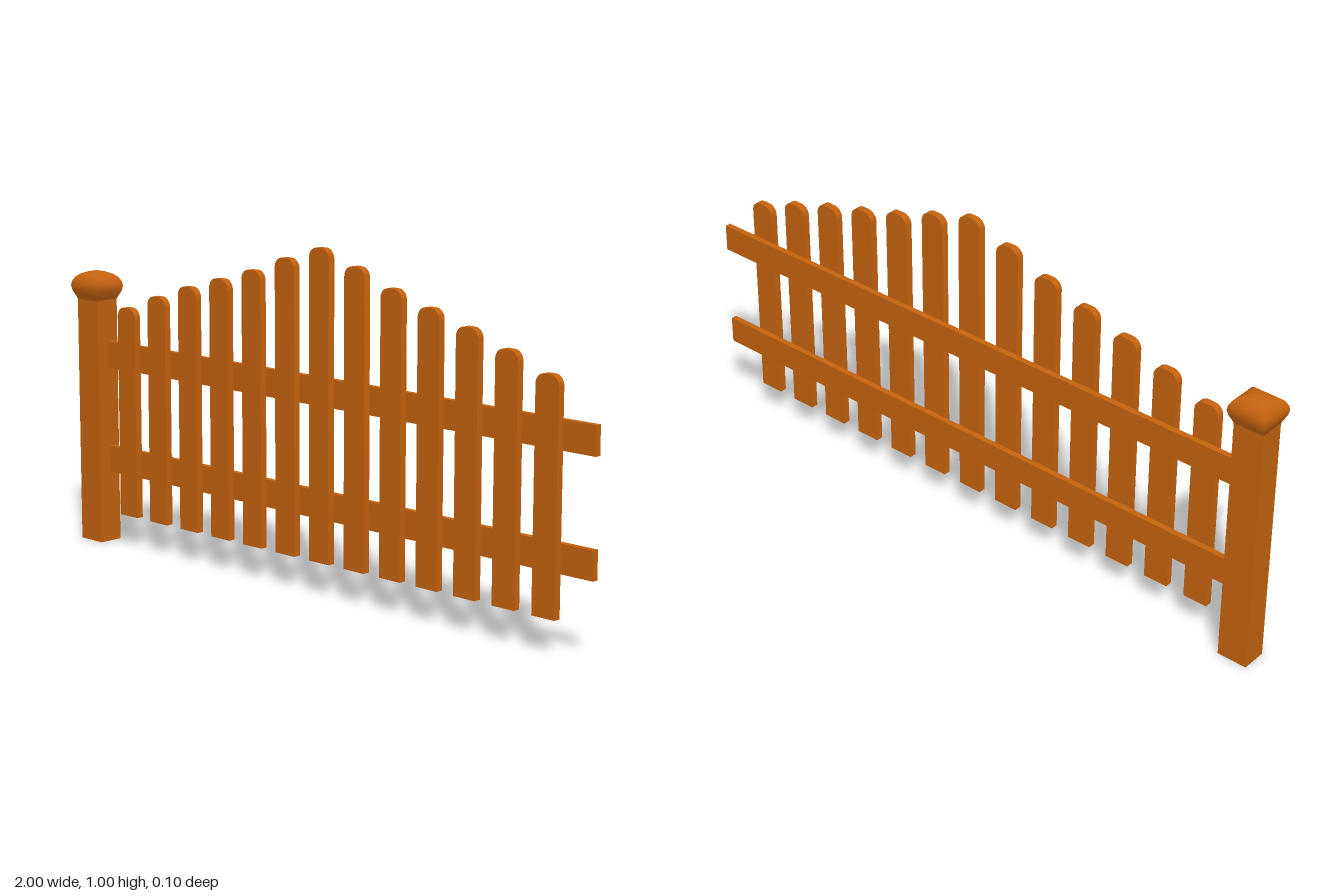
import * as THREE from 'three';
import { toCreasedNormals } from 'three/addons/utils/BufferGeometryUtils.js';

const POST_X = -0.938;

export function createModel() {
  const wood = new THREE.MeshStandardMaterial({ color: 0xc4620e });
  wood.name = 'wood';
  const model = new THREE.Group();
  model.name = 'picketFence';

  const add = (name, geometry, x, y, z) => {
    const mesh = new THREE.Mesh(geometry, wood);
    mesh.name = name;
    mesh.position.set(x, y, z);
    model.add(mesh);
  };

  // Square end post
  add('post', new THREE.BoxGeometry(0.093, 0.77, 0.077), POST_X, 0.385, 0);

  // Post cap: bulging four-sided profile with mitred corners
  const profile = [
    [0, 0.757], [0.74, 0.757], [0.82, 0.768], [0.94, 0.782], [1, 0.798],
    [0.96, 0.812], [0.82, 0.826], [0.6, 0.836], [0.3, 0.843], [0, 0.846],
  ].map(([r, y]) => new THREE.Vector2(r * Math.SQRT2, y));
  const cap = new THREE.LatheGeometry(profile, 4);
  cap.rotateY(Math.PI / 4);
  cap.scale(0.062, 1, 0.052);
  add('postCap', toCreasedNormals(cap, 0.6), POST_X, 0, 0);

  // Two horizontal rails behind the pickets
  const railStart = -0.9;
  for (const [name, y] of [['lowerRail', 0.262], ['upperRail', 0.589]]) {
    add(name, new THREE.BoxGeometry(1 - railStart, 0.082, 0.018), (1 + railStart) / 2, y, -0.009);
  }

  // Pickets rise to the middle and fall symmetrically
  const tops = [0.747, 0.795, 0.838, 0.875, 0.913, 0.96, 1];
  for (let i = 0; i < 13; i++) {
    const top = tops[Math.min(i, 12 - i)];
    add('picket' + (i + 1), picketGeometry(0.077, top - 0.1), -0.779 + i * 0.1362, 0.1, 0);
  }
  return model;
}

// Board with rounded upper corners
function picketGeometry(width, height) {
  const w = width / 2, r = 0.029;
  const shape = new THREE.Shape();
  shape.moveTo(-w, 0);
  shape.lineTo(w, 0);
  shape.lineTo(w, height - r);
  shape.absarc(w - r, height - r, r, 0, Math.PI / 2);
  shape.lineTo(-w + r, height);
  shape.absarc(-w + r, height - r, r, Math.PI / 2, Math.PI);
  shape.closePath();
  const geometry = new THREE.ExtrudeGeometry(shape, { depth: 0.022, bevelEnabled: false, curveSegments: 5 });
  return toCreasedNormals(geometry, 0.6);
}
